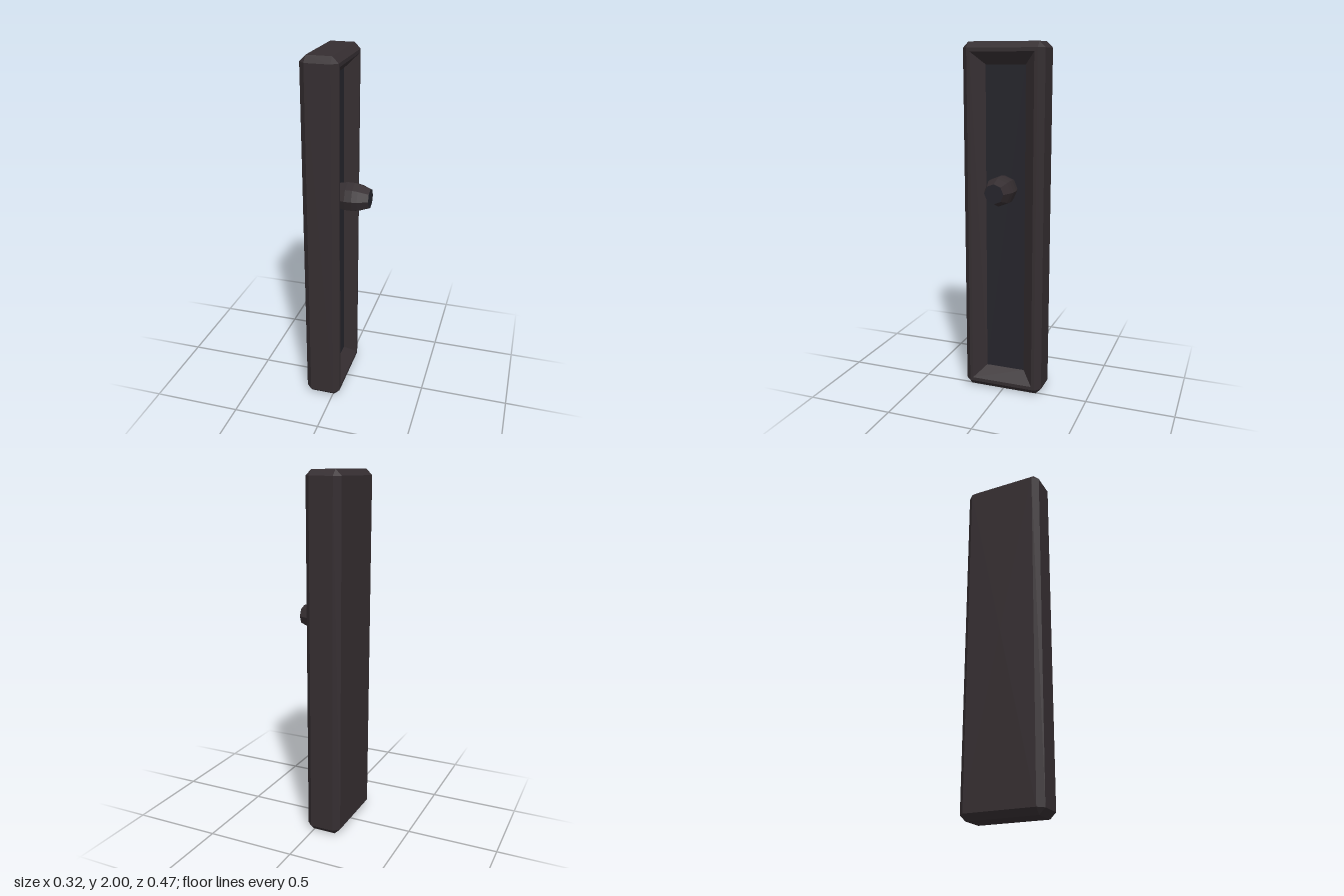
import * as THREE from 'three';

const DARK = 0x352e31, BLUE = 0x26252c;

const material = (color) => new THREE.MeshStandardMaterial({ color, flatShading: true });

function addPart(group, name, geometry, color) {
  const mesh = new THREE.Mesh(geometry, material(color));
  mesh.name = name;
  group.add(mesh);
  return mesh;
}

// Rectangle across the x axis with its four corners cut by c
function ring([x, hy, hz, c]) {
  return [
    [hy, hz - c], [hy - c, hz], [c - hy, hz], [-hy, hz - c],
    [-hy, c - hz], [c - hy, -hz], [hy - c, -hz], [hy, c - hz],
  ].map(([y, z]) => new THREE.Vector3(x, y + 1, z));
}

// Skin a series of rings, leaving out collapsed triangles
function loft(sections) {
  const rings = sections.map(ring);
  const points = [];
  const tri = (a, b, c) => {
    if (new THREE.Triangle(a, b, c).getArea() > 1e-7) points.push(a, b, c);
  };
  for (let i = 0; i < rings.length - 1; i++) {
    for (let k = 0; k < 8; k++) {
      const n = (k + 1) % 8;
      tri(rings[i][k], rings[i][n], rings[i + 1][n]);
      tri(rings[i][k], rings[i + 1][n], rings[i + 1][k]);
    }
  }
  const geometry = new THREE.BufferGeometry().setFromPoints(points);
  geometry.computeVertexNormals();
  return geometry;
}

export function createModel() {
  const group = new THREE.Group();
  group.name = 'doorPlate';

  // Chamfered housing with a sloping recess in its +x face: x, half height, half width, corner cut
  addPart(group, 'housing', loft([
    [-0.16, 0, 0, 0],
    [-0.16, 0.967, 0.2, 0],
    [-0.127, 1, 0.233, 0.033],
    [0.007, 1, 0.233, 0.033],
    [0.04, 0.967, 0.2, 0],
    [0.04, 0.947, 0.182, 0],
    [-0.025, 0.88, 0.115, 0],
  ]), DARK);

  // Recess floor
  const floor = new THREE.PlaneGeometry(0.23, 1.76).rotateY(Math.PI / 2);
  addPart(group, 'recessPanel', floor, BLUE).position.set(-0.025, 1, 0);

  // Eight-sided barrel knob
  const profile = [[0.072, -0.025], [0.083, 0.03], [0.083, 0.07], [0.077, 0.1], [0.055, 0.158]]
    .map(([r, x]) => new THREE.Vector2(r, x));
  const knob = new THREE.LatheGeometry(profile, 8).rotateZ(-Math.PI / 2);
  addPart(group, 'knob', knob, DARK).position.y = 1.205;

  // Flat end of the knob
  const cap = new THREE.CircleGeometry(0.055, 8).rotateY(Math.PI / 2);
  addPart(group, 'knobCap', cap, BLUE).position.set(0.158, 1.205, 0);

  return group;
}
